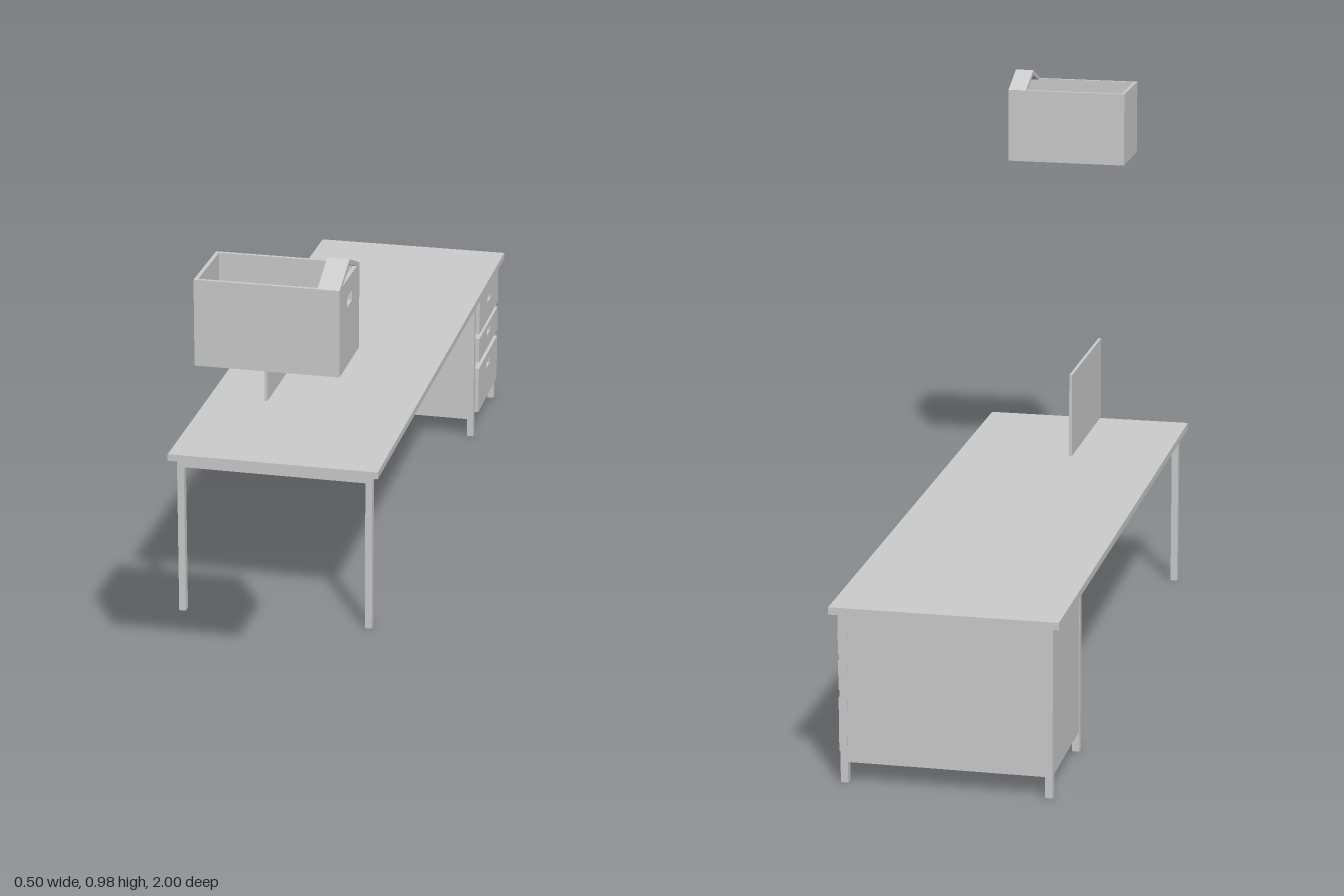
import * as THREE from 'three';

const grey = new THREE.MeshStandardMaterial({ color: 0xcccccc, flatShading: true, side: THREE.DoubleSide });

// Box given by its limits on each axis
function box(parent, name, x0, x1, y0, y1, z0, z1) {
  const mesh = new THREE.Mesh(new THREE.BoxGeometry(x1 - x0, y1 - y0, z1 - z0), grey);
  mesh.position.set((x0 + x1) / 2, (y0 + y1) / 2, (z0 + z1) / 2);
  mesh.name = name;
  parent.add(mesh);
  return mesh;
}

function polygon(points) {
  return points.map(([a, b]) => new THREE.Vector2(a, b));
}

function rectangle(a0, a1, b0, b1) {
  return polygon([[a0, b0], [a1, b0], [a1, b1], [a0, b1]]);
}

// Outline drawn in (z, y) and extruded along x from x0 to x1
function extrudeAlongX(parent, name, points, hole, x0, x1) {
  const shape = new THREE.Shape(points.map(p => new THREE.Vector2(-p.x, p.y)));
  if (hole) shape.holes.push(new THREE.Path(hole.map(p => new THREE.Vector2(-p.x, p.y))));
  const geometry = new THREE.ExtrudeGeometry(shape, { depth: x1 - x0, bevelEnabled: false });
  geometry.rotateY(Math.PI / 2);
  geometry.translate(x0, 0, 0);
  const mesh = new THREE.Mesh(geometry, grey);
  mesh.name = name;
  parent.add(mesh);
}

function createDesk() {
  const desk = new THREE.Group();
  desk.name = 'desk';

  // Top and the inset frame under it
  box(desk, 'deskTop', -0.25, 0.176, 0.329, 0.343, -1, 0.35);
  box(desk, 'underframe', -0.235, 0.162, 0.312, 0.329, -0.72, 0.336);

  // Three pairs of square legs
  for (const z of [0.328, -0.728, -0.973]) {
    for (const x of [-0.228, 0.155]) {
      box(desk, 'leg', x - 0.007, x + 0.007, 0, 0.329, z - 0.008, z + 0.008);
    }
  }

  // Drawer cabinet
  box(desk, 'cabinet', -0.234, 0.152, 0.04, 0.329, -0.98, -0.721);

  // Drawer fronts with a slot for the fingers
  const drawers = [[0.052, 0.156, 0.13], [0.171, 0.227, 0.209], [0.239, 0.323, 0.288]];
  for (const [y0, y1, slot] of drawers) {
    extrudeAlongX(desk, 'drawerFront', rectangle(-0.959, -0.738, y0, y1),
      rectangle(-0.868, -0.828, slot - 0.007, slot + 0.007), 0.152, 0.17);
  }
  return desk;
}

function createCarton() {
  const carton = new THREE.Group();
  carton.name = 'carton';
  const x0 = -0.016, x1 = 0.247, y0 = 0.79, y1 = 0.951, z0 = 0.84, z1 = 0.997, t = 0.007;

  // Open tray
  box(carton, 'cartonBase', x0, x1, y0, y0 + t, z0, z1);
  box(carton, 'cartonBackWall', x0, x1, y0, y1, z0, z0 + t);
  box(carton, 'cartonFrontWall', x0, x1, y0, y1, z1 - t, z1);
  box(carton, 'cartonPlainEnd', x0, x0 + t, y0, y1, z0, z1);

  // End wall with the hand hole
  extrudeAlongX(carton, 'cartonHandleEnd', rectangle(z0, z1, y0, y1),
    rectangle(0.898, 0.939, 0.9, 0.919), x1 - t, x1);

  // Gabled strip over the handle end
  const zm = (z0 + z1) / 2, top = 0.983;
  extrudeAlongX(carton, 'gableStrip', polygon([
    [z0, y1], [z0 + 0.022, y1], [zm, top - 0.01], [z1 - 0.022, y1], [z1, y1], [zm, top],
  ]), null, 0.207, x1);
  return carton;
}

export function createModel() {
  const model = new THREE.Group();
  model.name = 'deskSet';
  model.add(createDesk(), createCarton());
  // Upright panel above the desk
  box(model, 'screenPanel', -0.098, -0.092, 0.399, 0.567, -0.137, 0.164);
  return model;
}
